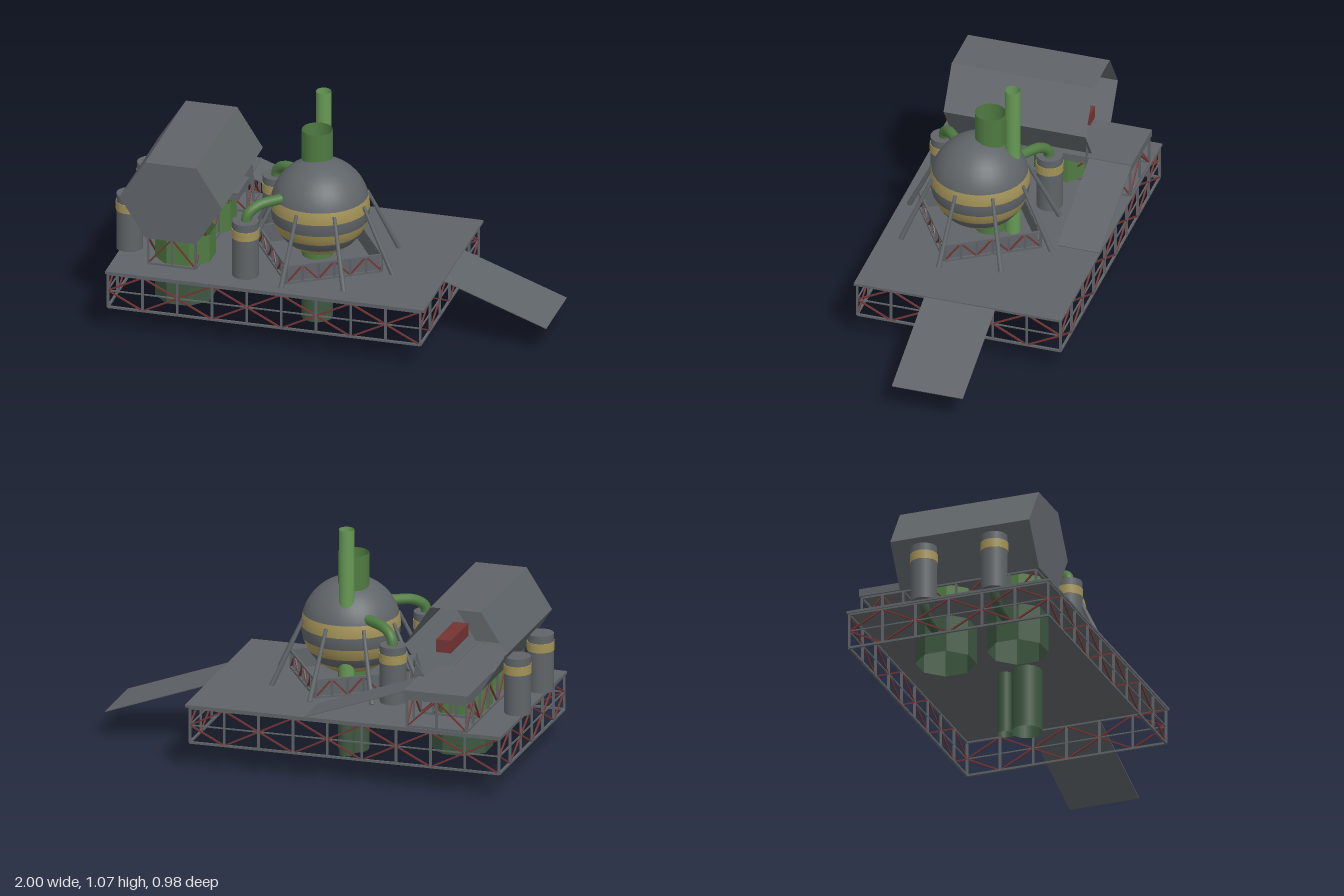
import * as THREE from 'three';

const mat = (name, color) => new THREE.MeshStandardMaterial({ name, color, side: THREE.DoubleSide });
const grey = mat('steel grey', 0x5f6468);
const yellow = mat('band yellow', 0xa39358);
const red = mat('brace red', 0x743533);
const lightGreen = mat('light green', 0x669955);
const green = mat('pipe green', 0x4f7a41);
const darkGreen = mat('dark green', 0x3d5740);

const V = (x, y, z) => new THREE.Vector3(x, y, z);

function add(parent, name, geometry, material, x = 0, y = 0, z = 0) {
  const m = new THREE.Mesh(geometry, material);
  m.name = name;
  m.position.set(x, y, z);
  parent.add(m);
  return m;
}

// Hard-edged normals
function faceted(g) {
  const f = g.toNonIndexed();
  f.computeVertexNormals();
  return f;
}

// Box spanning min and max corners
function block(parent, name, material, a, b) {
  const s = b.clone().sub(a);
  const c = a.clone().add(b).multiplyScalar(0.5);
  return add(parent, name, new THREE.BoxGeometry(s.x, s.y, s.z), material, c.x, c.y, c.z);
}

// Square bar between two points
function bar(parent, name, material, a, b, t) {
  const m = add(parent, name, new THREE.BoxGeometry(t, t, a.distanceTo(b)), material);
  m.position.copy(a).add(b).multiplyScalar(0.5);
  m.lookAt(b);
  return m;
}

// Upright open pipe
function pipe(parent, name, material, r, y0, y1, x, z) {
  add(parent, name, new THREE.CylinderGeometry(r, r, y1 - y0, 24, 1, true), material, x, (y0 + y1) / 2, z);
}

// Truss wall with a middle rail and diamond bracing
function diamondTruss(parent, a, b, y0, y1, bays) {
  const ym = (y0 + y1) / 2;
  const at = (i, y) => a.clone().lerp(b, i / bays).setY(y);
  for (const y of [y0, ym, y1]) bar(parent, 'trussRail', grey, at(0, y), at(bays, y), y === ym ? 0.006 : 0.01);
  for (let i = 0; i <= bays; i++) bar(parent, 'trussPost', grey, at(i, y0), at(i, y1), 0.01);
  for (let i = 0; i < bays; i++) {
    for (const y of [y0, y1]) {
      const odd = i % 2;
      bar(parent, 'trussBrace', red, at(i, odd ? y : ym), at(i + 1, odd ? ym : y), 0.007);
    }
  }
}

// Truss wall with zigzag bracing
function zigzagTruss(parent, a, b, y0, y1, bays) {
  const at = (i, y) => a.clone().lerp(b, i / bays).setY(y);
  for (const y of [y0, y1]) bar(parent, 'frameRail', grey, at(0, y), at(bays, y), 0.01);
  for (let i = 0; i <= bays; i++) bar(parent, 'framePost', grey, at(i, y0), at(i, y1), 0.01);
  for (let i = 0; i < bays; i++) {
    bar(parent, 'frameBrace', red, at(i, i % 2 ? y1 : y0), at(i + 1, i % 2 ? y0 : y1), 0.007);
  }
}

function ring(parent, corners, y0, y1, bays, truss) {
  corners.forEach((c, i) => truss(parent, c, corners[(i + 1) % corners.length], y0, y1, bays[i % bays.length]));
}

export function createModel() {
  const root = new THREE.Group();
  root.name = 'platform';
  const group = (name) => {
    const g = new THREE.Group();
    g.name = name;
    root.add(g);
    return g;
  };

  // Deck, truss skirt and boarding ramp
  block(root, 'deck', grey, V(-0.97, 0.3, -0.49), V(0.52, 0.312, 0.49));
  ring(group('deckTruss'), [V(-0.96, 0, 0.48), V(0.5, 0, 0.48), V(0.5, 0, -0.48), V(-0.96, 0, -0.48)],
    0.133, 0.297, [9, 6], diamondTruss);
  const ramp = add(root, 'sideRamp', new THREE.BoxGeometry(Math.hypot(0.48, 0.175), 0.004, 0.335), grey, 0.758, 0.218, -0.01);
  ramp.rotation.z = -Math.atan2(0.175, 0.48);

  // Banded sphere tank
  const tank = group('sphereTank');
  tank.position.set(-0.08, 0.575, 0.085);
  const D = Math.PI / 12;
  [[0, 5, grey], [5, 1, yellow], [6, 1, grey], [7, 1, yellow], [8, 1, grey], [9, 1, yellow], [10, 2, grey]]
    .forEach(([start, n, m]) => add(tank, 'sphereBand', new THREE.SphereGeometry(0.225, 32, n * 2, 0, Math.PI * 2, start * D, n * D), m));

  // Leaning legs and square cradle around the sphere
  const cradle = group('cradle');
  const polar = (r, y, a) => V(-0.08 + r * Math.cos(a), y, 0.085 + r * Math.sin(a));
  const turn = 0.22;
  for (let i = 0; i < 8; i++) {
    const a = turn + i * Math.PI / 4;
    const foot = polar(0.37, 0.312, a), top = polar(0.222, 0.615, a);
    const leg = add(cradle, 'leg', new THREE.CylinderGeometry(0.008, 0.012, foot.distanceTo(top), 10), grey);
    leg.position.copy(foot).add(top).multiplyScalar(0.5);
    leg.quaternion.setFromUnitVectors(V(0, 1, 0), top.clone().sub(foot).normalize());
  }
  const corners = [0, 1, 2, 3].map((i) => polar(0.315, 0, turn + i * Math.PI / 2));
  ring(cradle, corners, 0.317, 0.396, [6], zigzagTruss);
  const wall = add(cradle, 'cradlePanel', faceted(new THREE.CylinderGeometry(0.305, 0.305, 0.08, 4, 1, true)), grey, -0.08, 0.354, 0.085);
  wall.rotation.y = Math.PI / 2 - turn;

  // Vertical pipes through the sphere and deck
  pipe(root, 'mainPipe', green, 0.07, 0.3, 0.93, -0.105, 0.045);
  pipe(root, 'mainPipeLower', darkGreen, 0.07, 0, 0.3, -0.105, 0.045);
  pipe(root, 'tallPipe', lightGreen, 0.035, 0.3, 1.072, -0.105, -0.06);
  pipe(root, 'tallPipeLower', darkGreen, 0.035, 0.005, 0.3, -0.105, -0.06);

  // Eight-sided shafts below the hall
  for (const z of [0.22, -0.125]) {
    for (const [y0, y1, m] of [[0.3, 0.45, green], [0.12, 0.3, darkGreen]]) {
      const g = new THREE.CylinderGeometry(0.138, 0.138, y1 - y0, 8, 1, true);
      g.rotateY(Math.PI / 8);
      add(root, 'shaft', faceted(g), m, -0.672, (y0 + y1) / 2, z);
    }
  }

  // Small banded tanks
  for (const [x, z] of [[-0.935, -0.13], [-0.935, 0.21], [-0.355, -0.155], [-0.355, 0.345]]) {
    const g = group('smallTank');
    g.position.set(x, 0, z);
    add(g, 'tankBody', new THREE.CylinderGeometry(0.06, 0.06, 0.27, 24), grey, 0, 0.445, 0);
    add(g, 'tankBand', new THREE.CylinderGeometry(0.063, 0.063, 0.042, 24), yellow, 0, 0.523, 0);
  }

  // Curved feed pipes
  const feed = (name, material, r, pts) =>
    add(root, name, new THREE.TubeGeometry(new THREE.CatmullRomCurve3(pts), 24, r, 12), material);
  feed('frontSphereFeed', green, 0.024, [V(-0.355, 0.56, 0.345), V(-0.345, 0.61, 0.337), V(-0.305, 0.643, 0.303), V(-0.22, 0.655, 0.235)]);
  feed('backSphereFeed', green, 0.024, [V(-0.355, 0.56, -0.155), V(-0.345, 0.61, -0.148), V(-0.305, 0.643, -0.123), V(-0.2, 0.655, -0.06)]);
  for (const z of [0.21, -0.13]) {
    feed('shaftFeed', darkGreen, 0.022, [V(-0.935, 0.32, z), V(-0.915, 0.275, z), V(-0.87, 0.245, z), V(-0.78, 0.237, z)]);
  }

  // Six-sided hall, open at the back
  const hall = group('hall');
  hall.position.set(-0.695, 0.637, 0);
  const shell = new THREE.CylinderGeometry(0.24, 0.24, 0.67, 6, 1, true, Math.PI / 2);
  shell.rotateX(Math.PI / 2);
  shell.scale(1, 0.9, 1);
  add(hall, 'hallShell', faceted(shell), grey, 0, 0, 0.043);
  const end = new THREE.CircleGeometry(0.24, 6);
  end.scale(1, 0.9, 1);
  add(hall, 'hallFront', end, grey, 0, 0, 0.378);
  add(hall, 'redCrate', new THREE.BoxGeometry(0.07, 0.06, 0.26), red, 0.065, 0, -0.14);

  // Landing behind the hall, its ramp and the support frame
  block(root, 'landing', grey, V(-0.815, 0.452, -0.49), V(-0.515, 0.488, -0.1));
  const backRamp = add(root, 'backRamp', new THREE.BoxGeometry(Math.hypot(0.47, 0.17), 0.004, 0.2), grey, -0.282, 0.398, -0.39);
  backRamp.rotation.z = -Math.atan2(0.17, 0.47);
  ring(group('hallFrame'), [V(-0.805, 0, 0.36), V(-0.585, 0, 0.36), V(-0.585, 0, -0.28), V(-0.805, 0, -0.28)],
    0.317, 0.446, [2, 5], zigzagTruss);
  ring(group('landingFrame'), [V(-0.805, 0, -0.28), V(-0.525, 0, -0.28), V(-0.525, 0, -0.48), V(-0.805, 0, -0.48)],
    0.317, 0.446, [2], zigzagTruss);

  // Small side fin beside the hall
  const fin = new THREE.Shape([[-0.545, 0.48], [-0.488, 0.438], [-0.505, 0.6]].map(([x, y]) => new THREE.Vector2(x, y)));
  add(root, 'sideFin', new THREE.ShapeGeometry(fin), grey, 0, 0, -0.28);

  return root;
}
